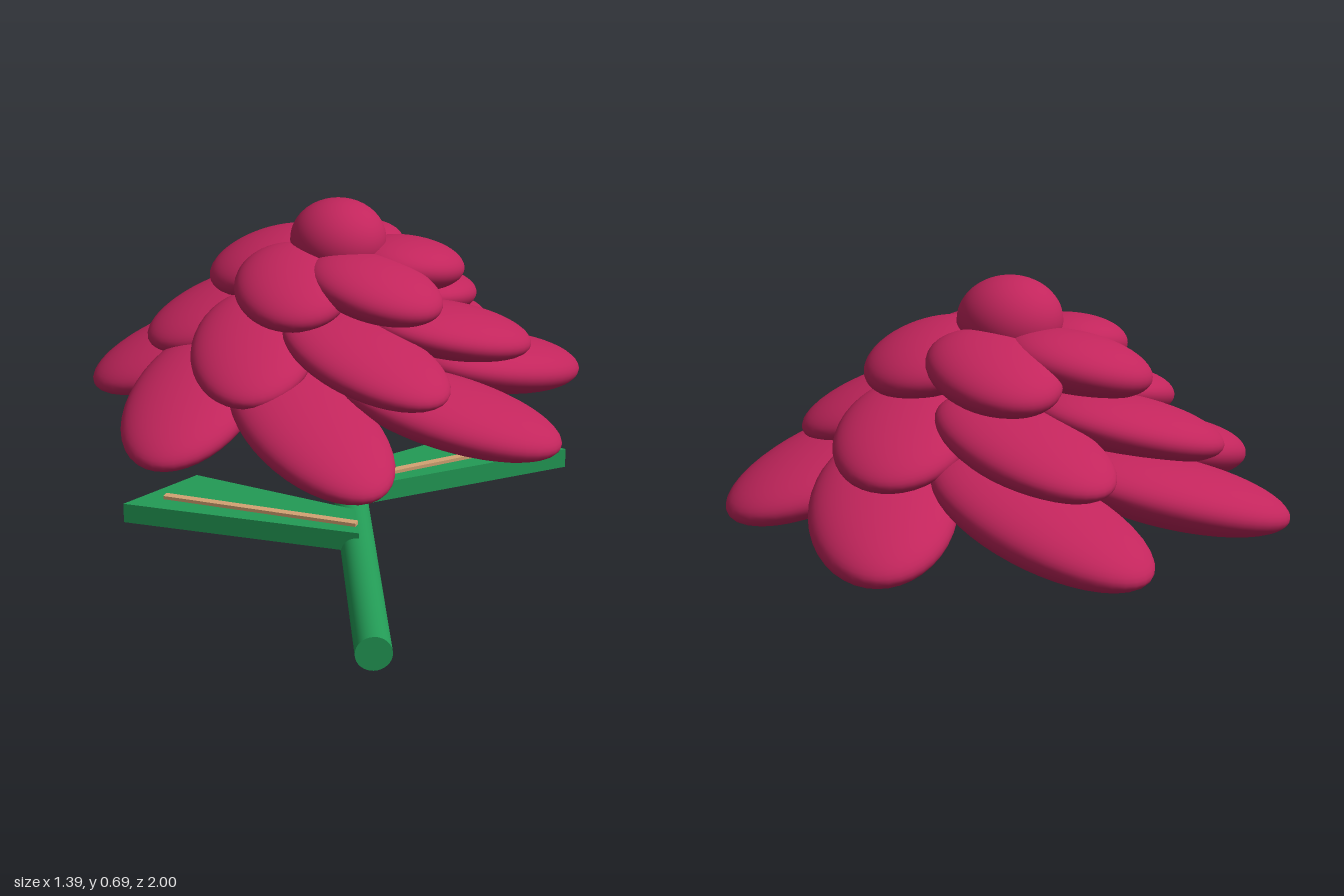
import * as THREE from 'three';

const red = new THREE.MeshStandardMaterial({ name: 'petalRed', color: 0xc2255c });
const green = new THREE.MeshStandardMaterial({ name: 'stemGreen', color: 0x239b56 });
const tan = new THREE.MeshStandardMaterial({ name: 'veinTan', color: 0xd4a373 });

const rad = THREE.MathUtils.degToRad;
const CENTER_Z = -0.345;
const SWIRL = 42; // each petal is turned this far from the radial direction

// Rings of petals: count, first angle, ring radius, height, droop, half length / thickness / width
const RINGS = [
  { name: 'outerPetal', count: 7, start: 0, r: 0.446, y: 0.203, droop: 15.5, size: [0.311, 0.08, 0.178] },
  { name: 'middlePetal', count: 6, start: 20, r: 0.315, y: 0.345, droop: 15, size: [0.254, 0.071, 0.168] },
  { name: 'innerPetal', count: 5, start: 62, r: 0.19, y: 0.493, droop: 13.5, size: [0.19, 0.075, 0.158] },
];

function add(parent, name, geometry, material) {
  const mesh = new THREE.Mesh(geometry, material);
  mesh.name = name;
  parent.add(mesh);
  return mesh;
}

// Flat tapered leaf with a raised centre vein; side is -1 or 1
function makeLeaf(name, side, z) {
  const leaf = new THREE.Group();
  leaf.name = name;
  const outline = [[0, 0.005], [0.587, -0.2], [0.4, -0.36], [0, -0.13]];
  const shape = new THREE.Shape(outline.map(([px, pz]) => new THREE.Vector2(px * side, -pz)));
  const blade = new THREE.ExtrudeGeometry(shape, { depth: 0.052, bevelEnabled: false });
  blade.rotateX(-Math.PI / 2);
  add(leaf, 'leafBlade', blade, green).position.y = 0.051;

  const vein = add(leaf, 'leafVein', new THREE.BoxGeometry(0.515, 0.016, 0.02), tan);
  vein.position.set(side * 0.242, 0.104, -0.135);
  vein.rotation.y = side * Math.atan2(0.19, 0.48);
  leaf.position.z = z;
  return leaf;
}

export function createModel() {
  const model = new THREE.Group();
  model.name = 'flower';

  // Stem lying along z
  const stem = add(model, 'stem', new THREE.CylinderGeometry(0.044, 0.044, 1.315, 32), green);
  stem.rotation.x = Math.PI / 2;
  stem.position.set(0, 0.045, 0.3425);

  // Leaves
  model.add(makeLeaf('rightLeaf', -1, 0.5));
  model.add(makeLeaf('leftLeaf', 1, 0.24));

  // Blossom: three rings of drooping, swirled petals
  const blossom = new THREE.Group();
  blossom.name = 'blossom';
  blossom.position.z = CENTER_Z;
  model.add(blossom);
  const ball = new THREE.SphereGeometry(1, 40, 28);
  for (const ring of RINGS) {
    for (let i = 0; i < ring.count; i++) {
      const angle = rad(ring.start + (360 / ring.count) * i);
      const petal = add(blossom, ring.name, ball, red);
      petal.scale.set(...ring.size);
      petal.position.set(Math.cos(angle) * ring.r, ring.y, Math.sin(angle) * ring.r);
      petal.rotation.set(0, rad(SWIRL) - angle, rad(-ring.droop), 'YXZ');
    }
  }

  // Bud on top
  const bud = add(blossom, 'bud', ball, red);
  bud.scale.set(0.132, 0.11, 0.132);
  bud.position.y = 0.58;

  return model;
}
